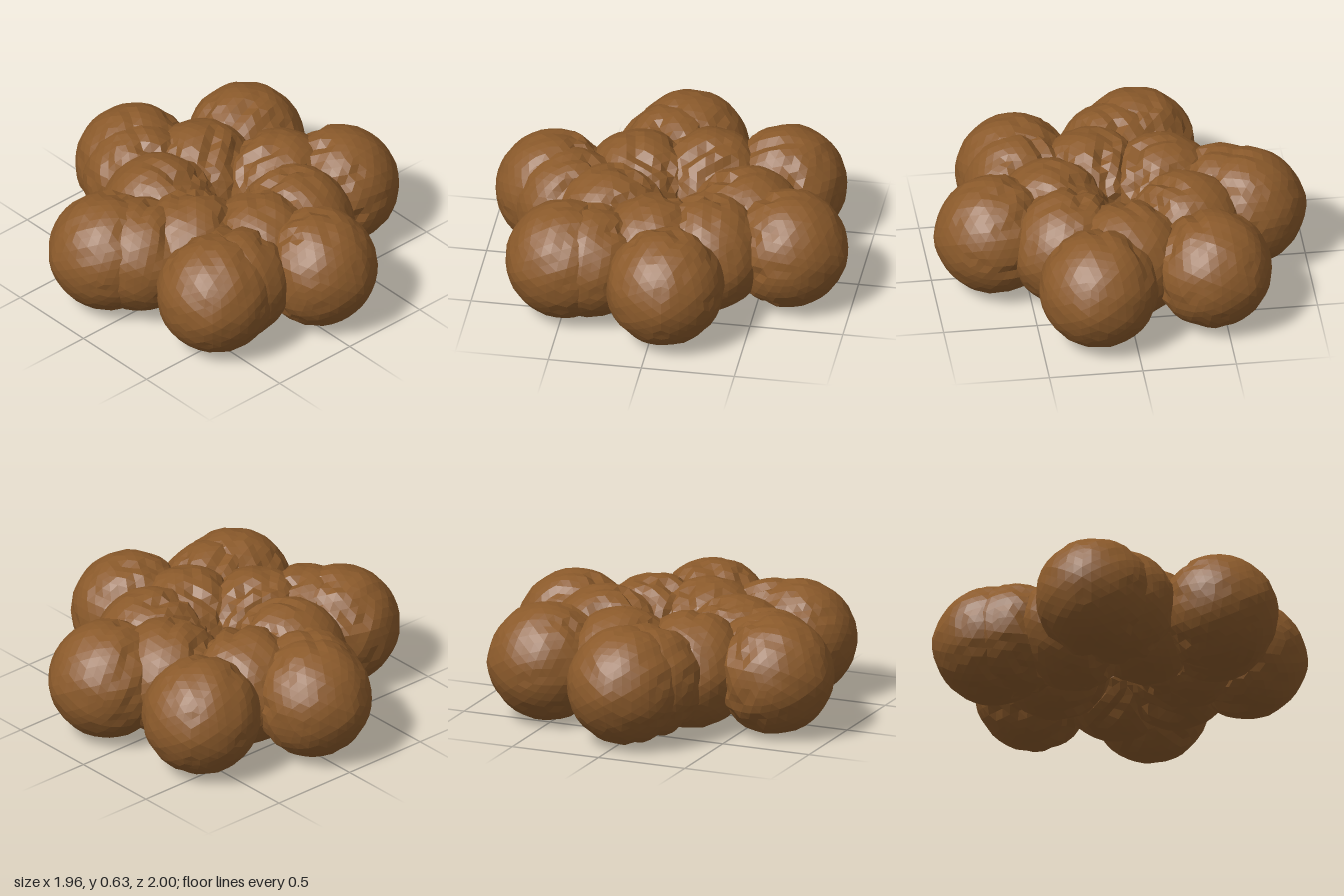
import * as THREE from 'three';

const material = new THREE.MeshStandardMaterial({ color: 0x8b5a2b, flatShading: true, roughness: 0.9 });

// Faceted lump: pleats run from the outward pole and deepen toward the middle of the ring
function lumpGeometry(radius, seed, wrinkle) {
  const geometry = new THREE.IcosahedronGeometry(1, 6);
  const pos = geometry.attributes.position;
  const d = new THREE.Vector3();
  for (let i = 0; i < pos.count; i++) {
    d.fromBufferAttribute(pos, i).normalize();
    const { x, y, z } = d; // z is the outward pole
    const ring = Math.hypot(x, y);
    const warp = Math.sin(5 * z + seed) + 0.6 * Math.sin(9 * y + 4 * x + seed * 2);
    const pleat = 1 - Math.abs(Math.sin(4 * Math.atan2(y, x) + 0.8 * warp));
    const inner = THREE.MathUtils.smoothstep(-z, -0.5, 0.6);
    const chips = Math.sin(17 * x + seed) * Math.sin(15 * y - seed) * Math.sin(19 * z + 2 * seed);
    const depth = pleat * pleat * ring * (0.025 + wrinkle * inner);
    const tip = 0.04 * Math.max(0, z) ** 30;
    d.multiplyScalar(radius * (1 - depth + tip + 0.02 * chips * (0.4 + inner)));
    pos.setXYZ(i, d.x, d.y, d.z);
  }
  geometry.computeVertexNormals();
  return geometry;
}

export function createModel() {
  const group = new THREE.Group();
  const addLumps = (name, places, radius, wrinkle) => places.forEach(([x, z], i) => {
    const mesh = new THREE.Mesh(lumpGeometry(radius, i * 1.7 + radius * 9, wrinkle), material);
    mesh.name = name + (i + 1);
    mesh.position.set(x, 0.316, z);
    mesh.rotation.y = Math.atan2(x, z);
    group.add(mesh);
  });

  // Six large outer balls
  addLumps('outerBall', [
    [-0.02, -0.68], [0.545, -0.43], [0.655, 0.19], [0.07, 0.67], [-0.495, 0.49], [-0.66, -0.18],
  ], 0.318, 0.07);

  // Creased balls closing around the small central hole
  addLumps('innerBall', [
    [-0.22, -0.26], [0.15, -0.34], [0.4, 0], [0.24, 0.3], [-0.05, 0.35], [-0.32, 0.1],
  ], 0.316, 0.13);

  // Folds tucked beside some outer balls
  addLumps('sideFold', [[-0.09, -0.56], [-0.36, 0.48], [-0.55, -0.04]], 0.306, 0.13);

  return group;
}
